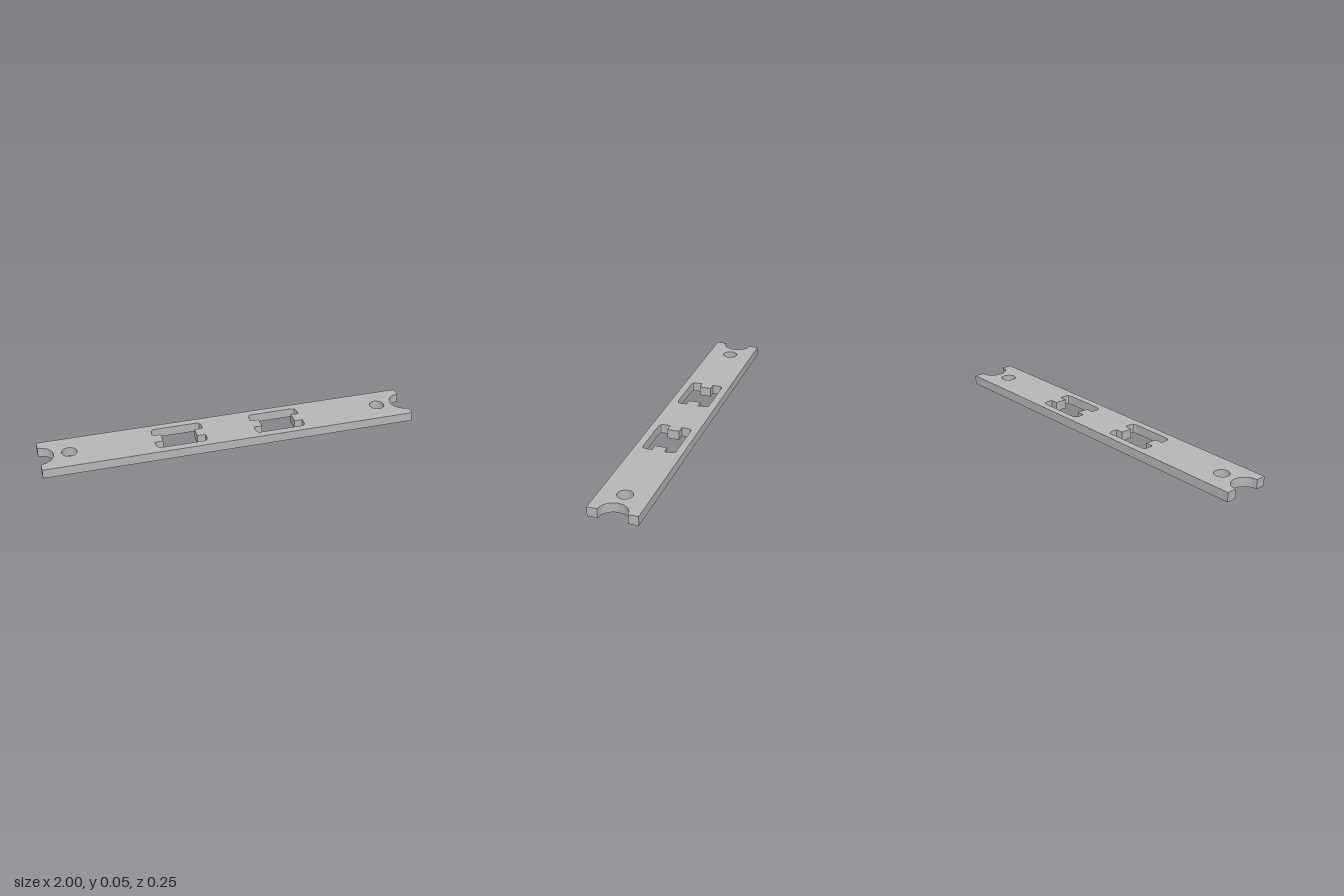
import * as THREE from 'three';

const HEIGHT = 0.05, HALF_WIDTH = 0.127;
const V = (x, y) => new THREE.Vector2(x, y);

// Points along an arc, angles in units of PI
function arc(cx, radius, from, to, steps) {
  return Array.from({ length: steps + 1 }, (_, i) => {
    const a = Math.PI * (from + (to - from) * i / steps);
    return V(cx + radius * Math.cos(a), radius * Math.sin(a));
  });
}

// Counter-clockwise slot with clipped corners and a tab in each short side
function slotLoop(outer, inner, outerTab, innerTab) {
  const h = 0.088, c = 0.02, t = 0.032, k = c * 0.3;
  const half = [
    V(outer, t), V(outer, h - c), V(outer - k, h - k), V(outer - c, h),
    V(inner + c, h), V(inner + k, h - k), V(inner, h - c), V(inner, t), V(innerTab, t),
  ];
  const upper = [V(outerTab, t), ...half];
  const lower = upper.map((p) => V(p.x, -p.y)).reverse();
  return [...upper, ...lower];
}

// Vertical wall following a closed loop, facing right of its direction
function wallGeometry(loop) {
  const pos = [];
  loop.forEach((a, i) => {
    const b = loop[(i + 1) % loop.length];
    pos.push(a.x, a.y, 0, b.x, b.y, 0, b.x, b.y, HEIGHT);
    pos.push(a.x, a.y, 0, b.x, b.y, HEIGHT, a.x, a.y, HEIGHT);
  });
  const g = new THREE.BufferGeometry();
  g.setAttribute('position', new THREE.Float32BufferAttribute(pos, 3));
  g.computeVertexNormals();
  return g;
}

export function createModel() {
  const model = new THREE.Group();
  model.name = 'mountingStrip';
  const grey = new THREE.MeshStandardMaterial({ color: 0xb6b6b6, side: THREE.DoubleSide });
  grey.name = 'grey';

  const add = (name, geometry) => {
    geometry.rotateX(-Math.PI / 2);
    const mesh = new THREE.Mesh(geometry, grey);
    mesh.name = name;
    model.add(mesh);
  };

  // Outline with a half-round notch at each end
  const outline = [
    V(-1, -HALF_WIDTH), V(1, -HALF_WIDTH),
    ...arc(1, 0.075, 1.5, 0.5, 8),
    V(1, HALF_WIDTH), V(-1, HALF_WIDTH),
    ...arc(-1, 0.075, 0.5, -0.5, 8),
  ];

  // Screw holes and tabbed slots, mirrored about the middle
  const holes = [];
  for (const side of [1, -1]) {
    const screw = arc(side * 0.845, 0.04, 0, 2, 16).slice(0, -1);
    const slot = slotLoop(0.403, 0.133, 0.36, 0.177).map((p) => V(side * p.x, p.y));
    holes.push(['screwHoleWall', screw], ['slotWall', slot]);
  }
  for (const [, loop] of holes) if (!THREE.ShapeUtils.isClockWise(loop)) loop.reverse();

  // Top plate
  const shape = new THREE.Shape(outline);
  shape.holes = holes.map(([, loop]) => new THREE.Path(loop));
  add('topPlate', new THREE.ShapeGeometry(shape).translate(0, 0, HEIGHT));

  // Rim and opening walls; the underside stays open
  add('outerWall', wallGeometry(outline));
  for (const [name, loop] of holes) add(name, wallGeometry(loop));
  return model;
}
